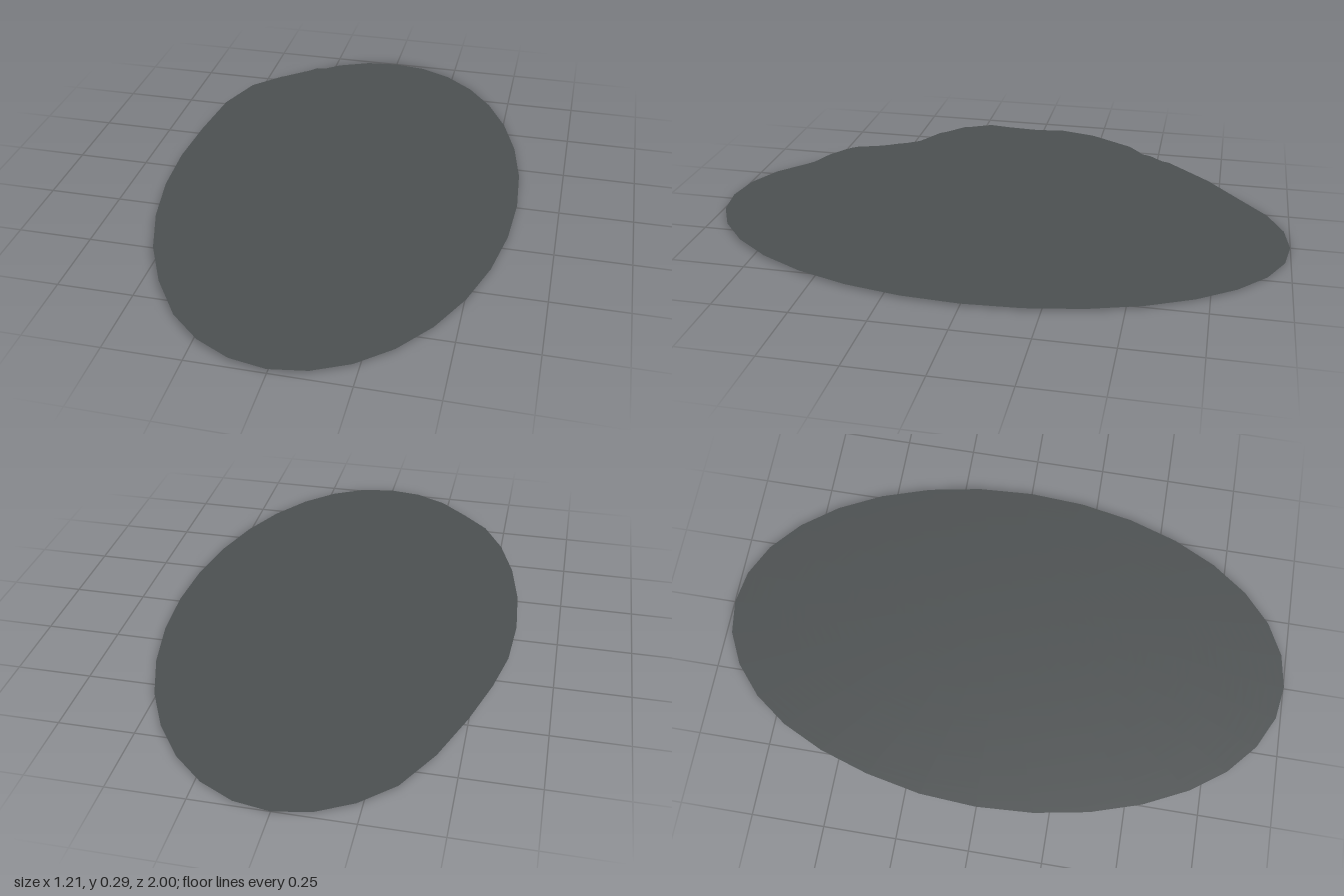
import * as THREE from 'three';

// Height profiles: [position, height] across the width and along the length
const ACROSS = [
  [-0.61, 0.055], [-0.55, 0.082], [-0.5, 0.1], [-0.4, 0.15], [-0.35, 0.185], [-0.26, 0.265],
  [-0.15, 0.278], [-0.05, 0.29], [0.07, 0.282], [0.13, 0.25], [0.18, 0.232],
  [0.3, 0.165], [0.4, 0.08], [0.48, 0.042], [0.61, 0.01],
];
const ALONG = [
  [-1, 0.003], [-0.9, 0.025], [-0.8, 0.055], [-0.65, 0.135], [-0.5, 0.19], [-0.37, 0.265],
  [-0.2, 0.285], [-0.1, 0.282], [0.1, 0.29], [0.2, 0.275], [0.3, 0.23],
  [0.4, 0.185], [0.6, 0.155], [0.72, 0.105], [0.8, 0.062], [0.9, 0.038], [1, 0.018],
];
// Height of the rim, raised on one side
const RIM = [[-0.61, 0.052], [-0.45, 0.042], [-0.36, 0.014], [0, 0.006], [0.61, 0.009]];

// Linear interpolation through a profile
function sample(profile, t) {
  if (t <= profile[0][0]) return profile[0][1];
  for (let i = 1; i < profile.length; i++) {
    const [a, ha] = profile[i - 1];
    const [b, hb] = profile[i];
    if (t <= b) return THREE.MathUtils.lerp(ha, hb, (t - a) / (b - a));
  }
  return profile[profile.length - 1][1];
}

function heightAt(x, z, r) {
  const bumps = 0.006 * Math.sin(x * 23 + z * 9) * Math.sin(z * 17 - x * 7);
  const mound = sample(ACROSS, x) * sample(ALONG, z) / 0.29 + bumps * (1 - r);
  const edge = THREE.MathUtils.smoothstep(r, 0.88, 1);
  const rim = sample(RIM, x) + 0.01 * Math.max(0, z) ** 4 - 0.006 * Math.max(0, -z) ** 4;
  // Swelling at the back corner of the raised side
  const swell = 0.032 * Math.exp(-((x + 0.5) ** 2 + (z + 0.45) ** 2) / 0.035);
  return Math.max(0, THREE.MathUtils.lerp(mound, rim, edge) + swell);
}

export function createModel() {
  const group = new THREE.Group();
  group.name = 'moundModel';

  const darkStone = new THREE.MeshStandardMaterial({ color: 0x4c5051, side: THREE.DoubleSide });
  darkStone.name = 'dark stone';

  // Open oval sheet raised into a mound; the disc's upright normals keep its tone even
  const geometry = new THREE.RingGeometry(0.0005, 1, 32, 32);
  geometry.rotateX(-Math.PI / 2);
  const pos = geometry.attributes.position;
  for (let i = 0; i < pos.count; i++) {
    const r = Math.hypot(pos.getX(i), pos.getZ(i));
    const x = pos.getX(i) * 0.607;
    const z = pos.getZ(i);
    pos.setXYZ(i, x, heightAt(x, z, r), z);
  }

  const mound = new THREE.Mesh(geometry, darkStone);
  mound.name = 'mound';
  group.add(mound);
  return group;
}
